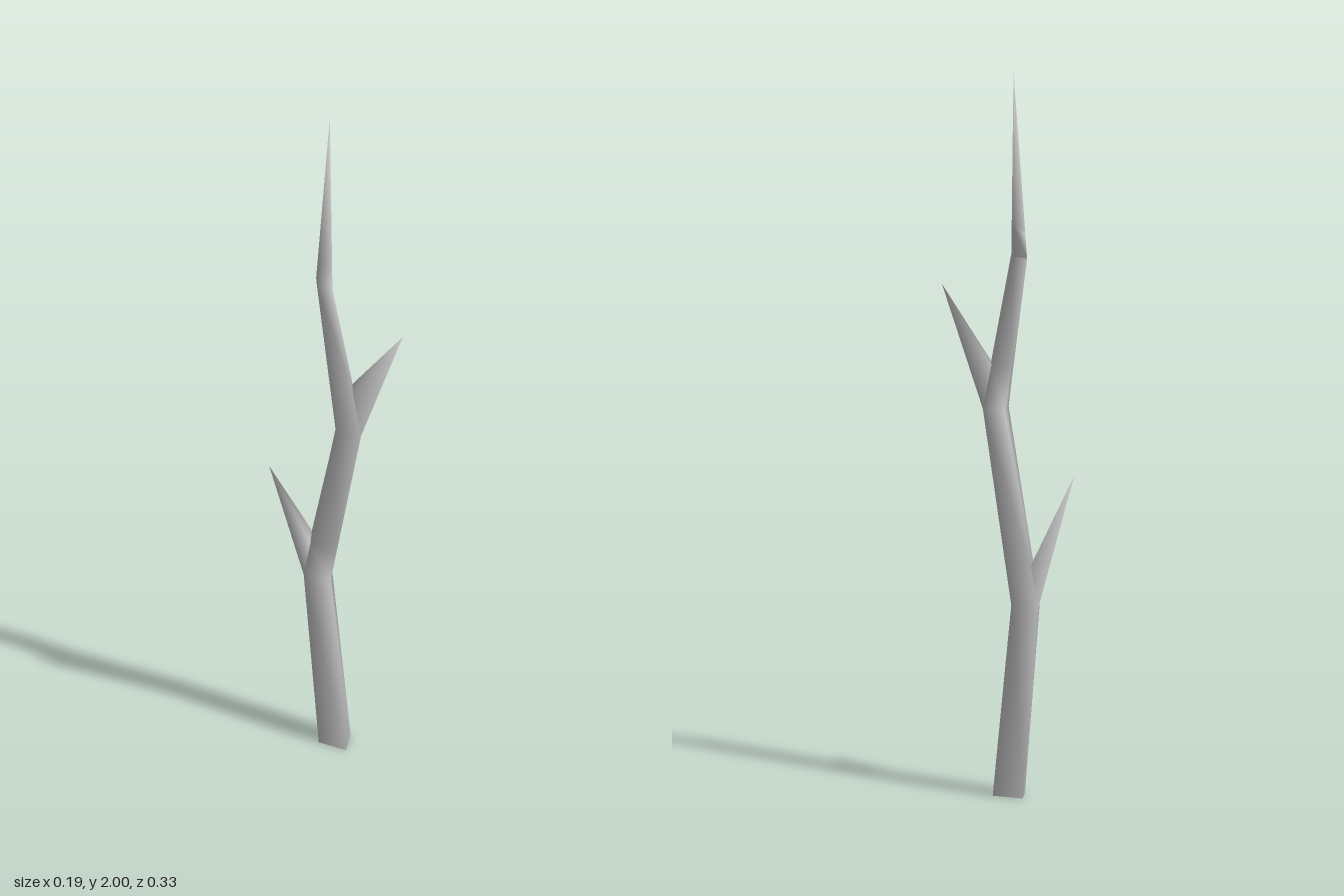
import * as THREE from 'three';

const material = new THREE.MeshStandardMaterial({ color: 0xcccccc });

// Bends of the stem: height and four [x, z] corners (left, front, right, back)
const bends = [
  { y: 0, c: [[0.06, -0.015], [0.004, 0.022], [-0.02, -0.055], [0.022, -0.09]] },
  { y: 0.53, c: [[0.04, -0.065], [-0.008, -0.024], [-0.033, -0.098], [0.014, -0.14]] },
  { y: 1.05, c: [[0.043, 0.04], [0.002, 0.08], [-0.023, 0.01], [0.02, -0.02]] },
  { y: 1.48, c: [[0.013, -0.045], [-0.004, -0.02], [-0.02, -0.062], [0.002, -0.086]] },
];
const tip = new THREE.Vector3(0.027, 2, -0.06);

// Twigs: the bend they grow from, the stem side, the height of the fork, the point
const twigs = [
  { name: 'lowerTwig', bend: 1, side: 2, top: 0.64, point: [-0.095, 0.88, -0.165] },
  { name: 'middleTwig', bend: 2, side: 0, top: 1.17, point: [0.075, 1.375, 0.163] },
  { name: 'upperTwig', bend: 3, side: 3, top: 1.55, point: [0.092, 1.6, -0.127] },
];

function makeMesh(name, points, index) {
  const geometry = new THREE.BufferGeometry().setFromPoints(points);
  geometry.setIndex(index);
  geometry.computeVertexNormals();
  const mesh = new THREE.Mesh(geometry, material);
  mesh.name = name;
  return mesh;
}

export function createModel() {
  const group = new THREE.Group();
  group.name = 'branch';

  // Cross-sections at every bend, with an extra one at each fork
  const rings = [];
  const twigRing = [];
  bends.forEach((bend, b) => {
    const ring = bend.c.map(([x, z]) => new THREE.Vector3(x, bend.y, z));
    rings.push(ring);
    const twig = twigs.find((t) => t.bend === b);
    if (!twig) return;
    const next = bends[b + 1];
    const endY = next ? next.y : tip.y;
    const k = (twig.top - bend.y) / (endY - bend.y);
    twigRing[rings.length - 1] = twig;
    rings.push(ring.map((p, i) => {
      const end = next ? new THREE.Vector3(next.c[i][0], next.y, next.c[i][1]) : tip;
      return p.clone().lerp(end, k);
    }));
  });

  // Stem: four-sided skin, open where a twig grows out, ending in a point
  const index = [];
  for (let r = 0; r < rings.length; r++) {
    for (let s = 0; s < 4; s++) {
      const n = (s + 1) % 4;
      const a = r * 4 + s, b = r * 4 + n;
      if (r === rings.length - 1) index.push(a, rings.length * 4, b);
      else if (!twigRing[r] || twigRing[r].side !== s) index.push(a, a + 4, b + 4, a, b + 4, b);
    }
  }
  group.add(makeMesh('stem', [...rings.flat(), tip], index));

  // Flat cut end at the bottom
  group.add(makeMesh('cutEnd', rings[0], [0, 1, 2, 0, 2, 3]));

  // Twigs: spikes drawn out of one side of the stem
  twigRing.forEach((twig, r) => {
    const s = twig.side, n = (s + 1) % 4;
    const foot = [rings[r][s], rings[r + 1][s], rings[r + 1][n], rings[r][n]];
    const faces = [0, 1, 2, 3].flatMap((i) => [i, (i + 1) % 4, 4]);
    group.add(makeMesh(twig.name, [...foot, new THREE.Vector3(...twig.point)], faces));
  });

  return group;
}
